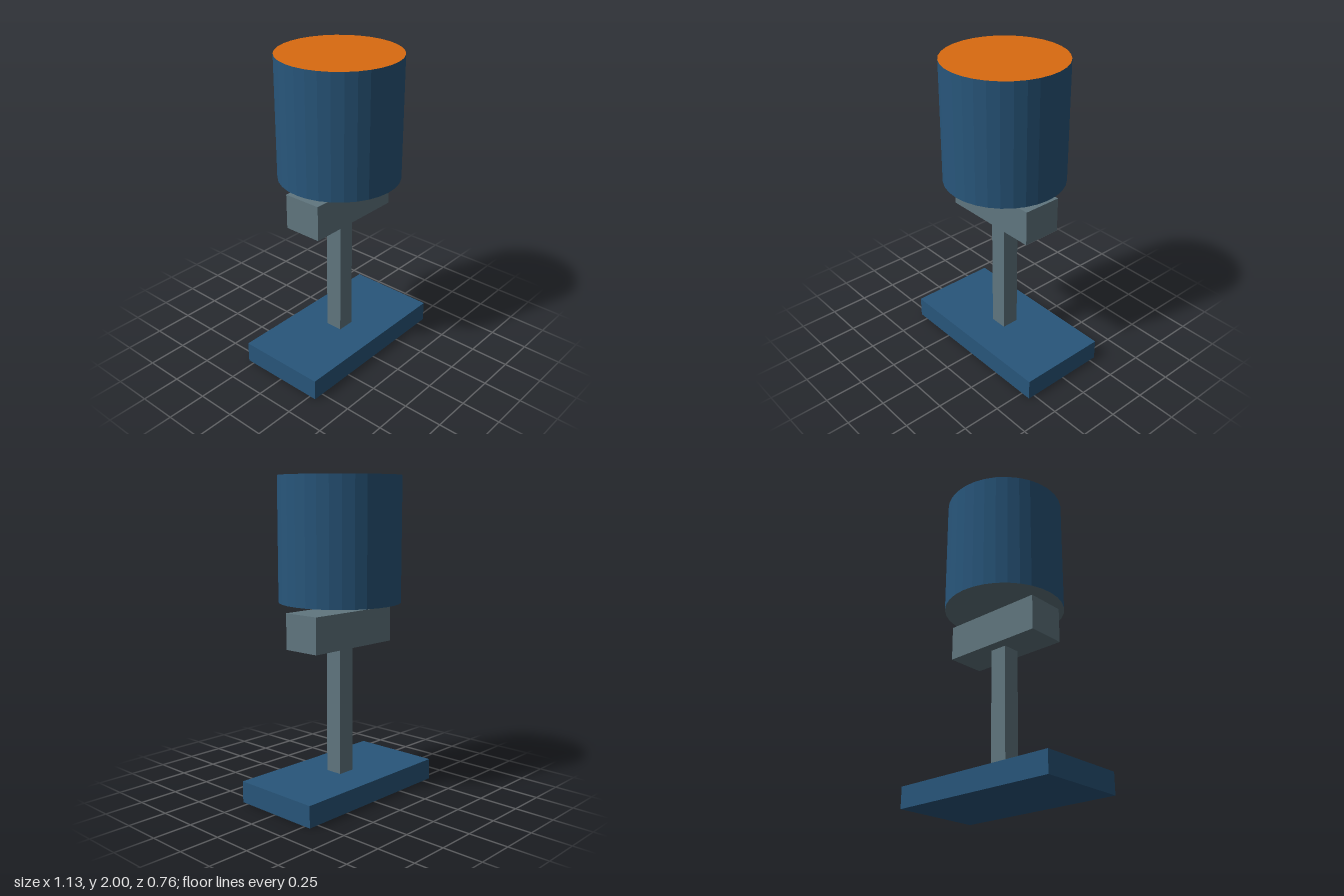
import * as THREE from 'three';

export function createModel() {
  const model = new THREE.Group();
  const material = (name, color, flatShading = false) => {
    const m = new THREE.MeshStandardMaterial({ color, flatShading });
    m.name = name;
    return m;
  };
  const blue = material('deep blue', 0x28567b, true);
  const grey = material('slate grey', 0x60767f);
  const orange = material('orange', 0xd96a10);

  const add = (name, geometry, mat, y) => {
    const mesh = new THREE.Mesh(geometry, mat);
    mesh.name = name;
    mesh.position.y = y;
    model.add(mesh);
  };
  // Box centred on the vertical axis, between two heights
  const block = (name, width, depth, bottom, top, mat) =>
    add(name, new THREE.BoxGeometry(width, top - bottom, depth), mat, (bottom + top) / 2);

  // Stand
  block('base', 1.13, 0.587, 0, 0.136, blue);
  block('column', 0.114, 0.114, 0.136, 0.955, grey);
  block('crossBlock', 0.676, 0.254, 0.955, 1.18, grey);

  // Faceted drum: blue wall, orange top, grey underside, floating just above the block
  add('drum', new THREE.CylinderGeometry(0.38, 0.38, 0.77, 32), [blue, orange, grey], 1.615);

  return model;
}
